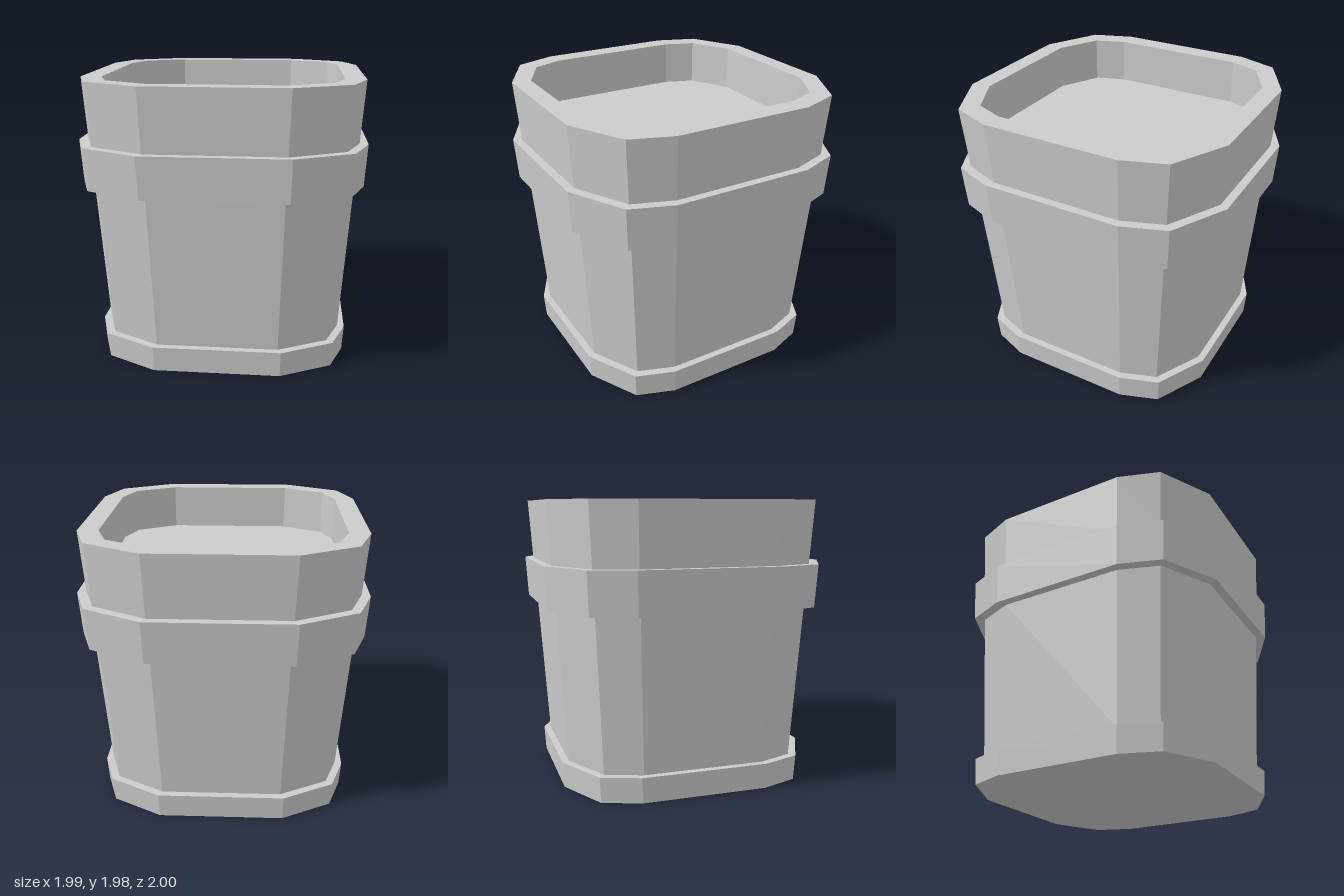
import * as THREE from 'three';

// Quarter outlines [x, z] of the twelve-sided section, from the side round to the front
const OUTER = [[0.993, 0.5], [0.888, 0.795], [0.492, 1]];
const INNER = [[0.82, 0.475], [0.742, 0.685], [0.45, 0.84]];

// Mirror a quarter outline into a full ring, running from +x towards +z
function ring(quarter, scale, y) {
  const back = [...quarter].reverse();
  return [
    ...quarter,
    ...back.map(([x, z]) => [-x, z]),
    ...quarter.map(([x, z]) => [-x, -z]),
    ...back.map(([x, z]) => [x, -z]),
  ].map(([x, z]) => [x * scale, y, z * scale]);
}

// Join successive rings [scale, y, outline]; scale 0 closes an end to a point
function loft(name, levels, material) {
  const rings = levels.map(([s, y, outline = OUTER]) => ring(outline, s, y));
  const positions = [];
  for (let k = 0; k < rings.length - 1; k++) {
    const a = rings[k], b = rings[k + 1];
    for (let i = 0; i < a.length; i++) {
      const j = (i + 1) % a.length;
      if (levels[k + 1][0] > 0) positions.push(...a[i], ...b[i], ...b[j]);
      if (levels[k][0] > 0) positions.push(...a[i], ...b[j], ...a[j]);
    }
  }
  const geometry = new THREE.BufferGeometry();
  geometry.setAttribute('position', new THREE.Float32BufferAttribute(positions, 3));
  geometry.computeVertexNormals();
  const mesh = new THREE.Mesh(geometry, material);
  mesh.name = name;
  return mesh;
}

export function createModel() {
  const material = new THREE.MeshStandardMaterial({ color: 0xcccccc, flatShading: true });
  const group = new THREE.Group();
  group.name = 'planter';

  group.add(
    // Foot band with the closed underside
    loft('footBand', [[0, 0], [0.887, 0], [0.898, 0.18], [0.85, 0.18]], material),
    // Tapered lower wall
    loft('lowerWall', [[0.85, 0.18], [0.92, 1.255]], material),
    // Raised hoop
    loft('hoop', [[0.92, 1.255], [0.982, 1.255], [1, 1.55], [0.942, 1.55]], material),
    // Upper wall, flat rim and upright inner wall
    loft('upperWall', [[0.942, 1.55], [0.97, 1.98], [1, 1.98, INNER], [1, 1.66, INNER]], material),
    // Recessed floor
    loft('fillSurface', [[1, 1.66, INNER], [0, 1.66, INNER]], material),
  );
  return group;
}
